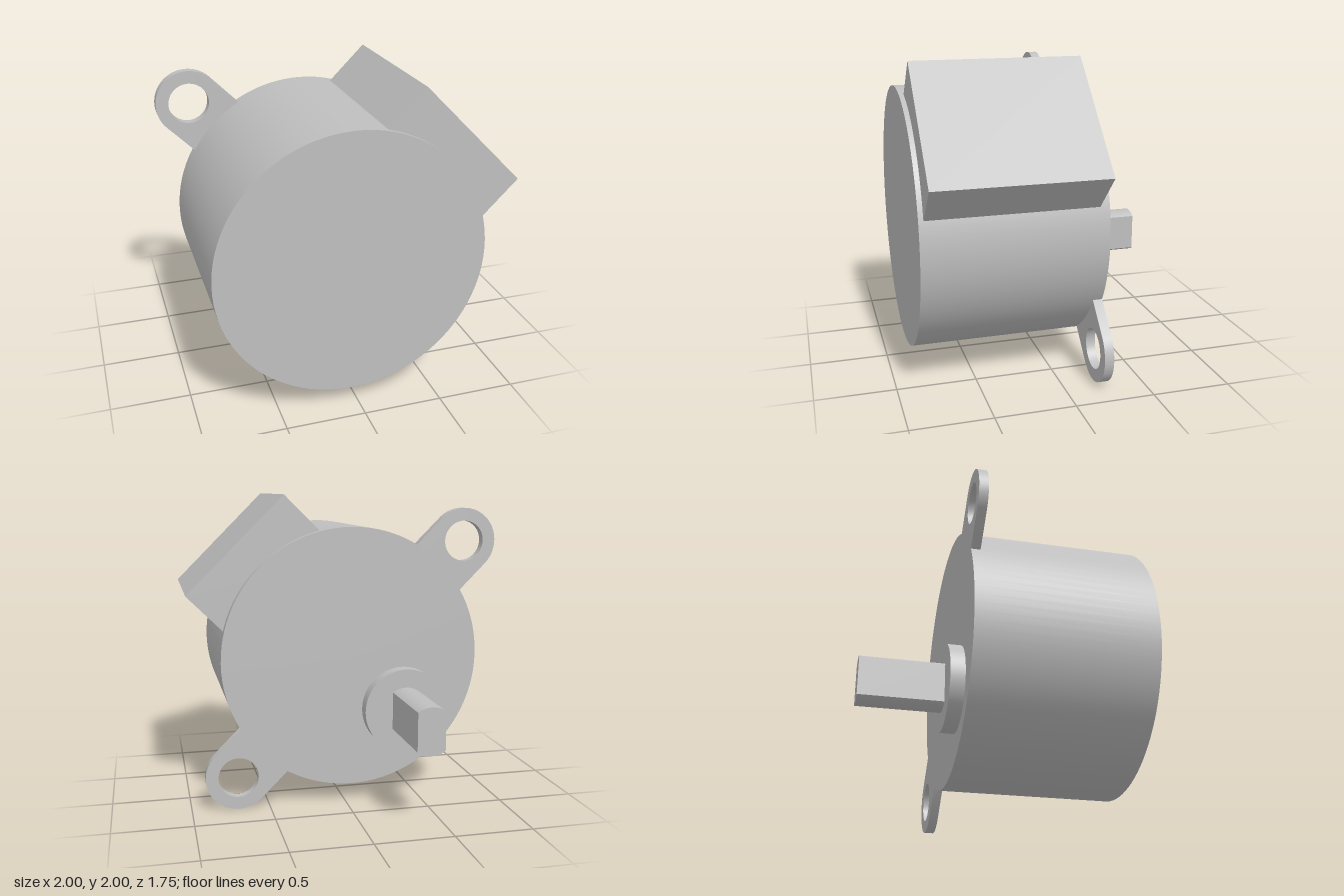
import * as THREE from 'three';
import { toCreasedNormals } from 'three/addons/utils/BufferGeometryUtils.js';

const BODY_R = 0.842, BACK = -0.27;

export function createModel() {
  const group = new THREE.Group();
  const grey = new THREE.MeshStandardMaterial({ color: 0xbfbfbf });
  grey.name = 'greyMetal';

  const add = (name, geometry, x, y, z, turn = 0) => {
    const mesh = new THREE.Mesh(geometry, grey);
    mesh.name = name;
    mesh.position.set(x, y, z);
    mesh.rotation.z = turn;
    group.add(mesh);
  };
  const disc = (r, depth) => new THREE.CylinderGeometry(r, r, depth, 96).rotateX(Math.PI / 2);
  const extrude = (shape, depth) => toCreasedNormals(
    new THREE.ExtrudeGeometry(shape, { depth, bevelEnabled: false, curveSegments: 32 }), 0.5);

  // Motor can
  const cx = -0.045, cy = 0.96;
  add('body', disc(BODY_R, 1.14), cx, cy, 0.3);

  // Mounting ears: round end with a hole, root following the can
  const earR = 0.21, earX = 1.054;
  const a = Math.asin(earR / BODY_R);
  const ear = new THREE.Shape();
  ear.moveTo(BODY_R * Math.cos(a), -earR);
  ear.lineTo(earX, -earR);
  ear.absarc(earX, 0, earR, -Math.PI / 2, Math.PI / 2, false);
  ear.lineTo(BODY_R * Math.cos(a), earR);
  ear.absarc(0, 0, BODY_R - 0.002, a, -a, true);
  const hole = new THREE.Path();
  hole.absarc(earX, 0, 0.129, 0, Math.PI * 2, true);
  ear.holes.push(hole);
  const earGeometry = extrude(ear, 0.06);
  add('upperEar', earGeometry, cx, cy, BACK, Math.PI * 0.75);
  add('lowerEar', earGeometry, cx, cy, BACK, -Math.PI * 0.25);

  // Connector housing, set at 45 degrees on the can
  const box = new THREE.BoxGeometry(0.536, 0.877, 1.05).translate(0.768, 0, 0);
  add('connectorBox', box, cx, cy, 0.315, Math.PI / 4);

  // Shaft collar and double-flat output shaft at the back
  const sx = -0.385, sy = 0.62;
  add('shaftCollar', disc(0.27, 0.1), sx, sy, -0.31);
  const r = 0.15, b = Math.acos(0.088 / r);
  const section = new THREE.Shape();
  section.absarc(0, 0, r, b, Math.PI - b, false);
  section.absarc(0, 0, r, Math.PI + b, 2 * Math.PI - b, false);
  section.closePath();
  add('shaft', extrude(section, 0.53), sx, sy, -0.875);

  return group;
}
